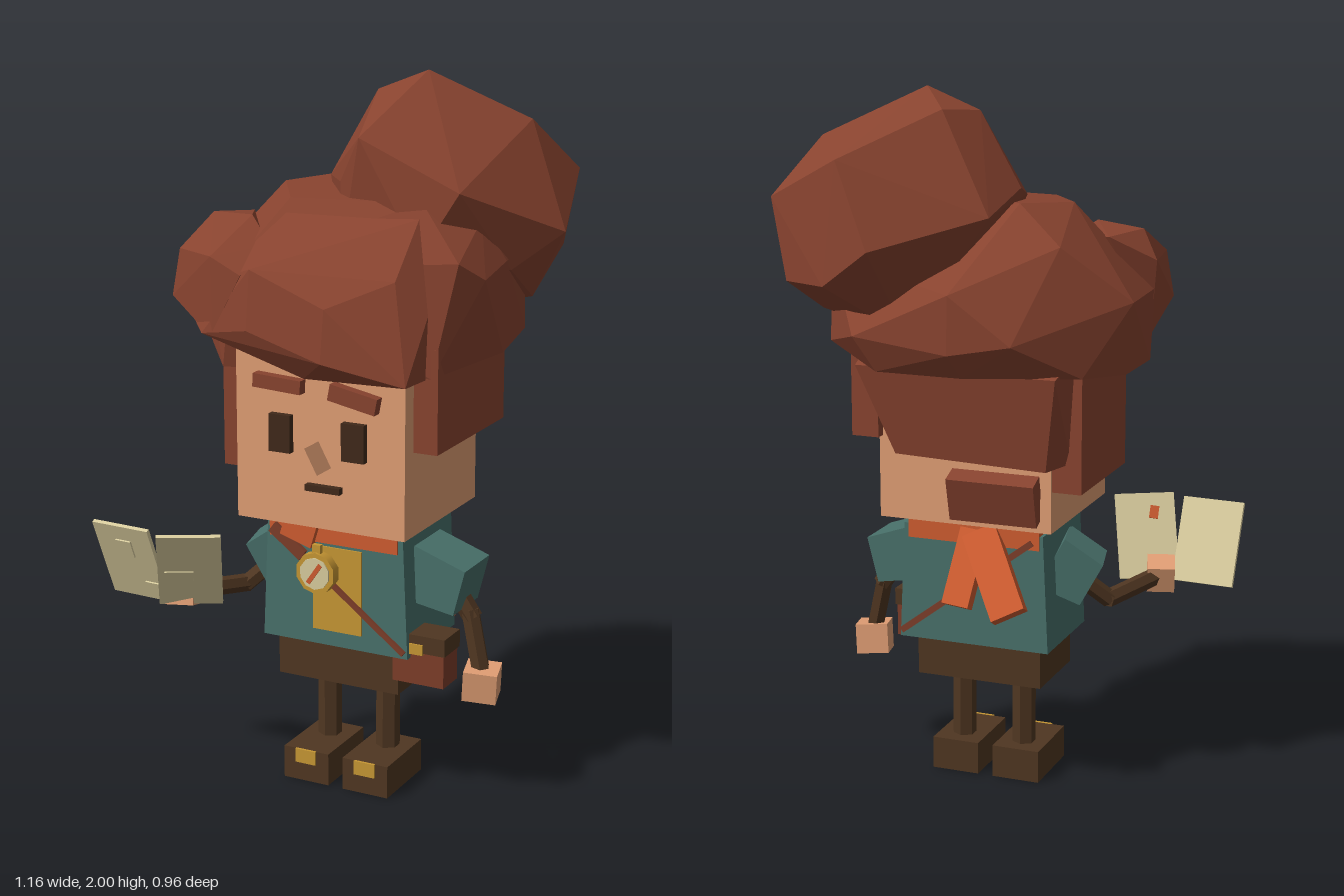
import * as THREE from 'three';
import { ConvexGeometry } from 'three/addons/geometries/ConvexGeometry.js';

const paint = (name, color) => {
  const m = new THREE.MeshStandardMaterial({ color });
  m.name = name;
  return m;
};

export function createModel() {
  const skin = paint('skin', 0xdf9d73);
  const hair = paint('auburn hair', 0x88432f);
  const teal = paint('teal cloth', 0x48706a);
  const orange = paint('orange scarf', 0xce5c30);
  const brown = paint('dark brown', 0x4f3621);
  const gold = paint('gold', 0xc69633);
  const cream = paint('paper', 0xd8cb9d);
  const leather = paint('leather', 0x7c3d29);
  const dark = paint('eye brown', 0x40291a);

  const model = new THREE.Group();
  model.name = 'explorer';
  const add = (name, geo, mat, parent = model) => {
    const mesh = new THREE.Mesh(geo, mat);
    mesh.name = name;
    parent.add(mesh);
    return mesh;
  };
  const box = (name, mat, size, pos, rot = [0, 0, 0], parent = model) => {
    const mesh = add(name, new THREE.BoxGeometry(...size), mat, parent);
    mesh.position.set(...pos);
    mesh.rotation.set(...rot);
    return mesh;
  };
  // box given by its ranges: x0, x1, y0, y1, z0, z1
  const span = (name, mat, x0, x1, y0, y1, z0, z1) =>
    box(name, mat, [x1 - x0, y1 - y0, z1 - z0], [(x0 + x1) / 2, (y0 + y1) / 2, (z0 + z1) / 2]);
  const lump = (name, mat, pts) =>
    add(name, new ConvexGeometry(pts.map((p) => new THREE.Vector3(...p))), mat);
  // straight faceted limb between two points
  const limb = (name, mat, a, b, r) => {
    const p = new THREE.Vector3(...a), q = new THREE.Vector3(...b);
    const geo = new THREE.CylinderGeometry(r, r, p.distanceTo(q), 6).toNonIndexed();
    geo.computeVertexNormals();
    const mesh = add(name, geo, mat);
    mesh.position.copy(p).add(q).multiplyScalar(0.5);
    mesh.quaternion.setFromUnitVectors(new THREE.Vector3(0, 1, 0), q.sub(p).normalize());
  };

  // legs, shoes and buckles
  for (const x of [-0.04, 0.147]) {
    span('shoe', brown, x - 0.071, x + 0.071, 0, 0.095, -0.025, 0.195);
    limb('leg', brown, [x, 0.08, 0.048], [x, 0.33, 0.048], 0.034);
    span('shoeBuckle', gold, x - 0.032, x + 0.032, 0.055, 0.096, 0.193, 0.201);
  }
  span('trousers', brown, -0.135, 0.24, 0.31, 0.44, -0.075, 0.175);

  // torso, narrowing a little towards the shoulders
  const torso = span('tunic', teal, -0.17, 0.28, 0.43, 0.77, -0.11, 0.2);
  const tp = torso.geometry.attributes.position;
  for (let i = 0; i < tp.count; i++) if (tp.getY(i) > 0) tp.setX(i, tp.getX(i) * 0.93);
  span('frontPanel', gold, -0.01, 0.14, 0.475, 0.72, 0.197, 0.205);

  // scarf with knot and two tails spreading down the back
  span('scarf', orange, -0.145, 0.25, 0.73, 0.81, -0.115, 0.207);
  box('scarfKnot', orange, [0.1, 0.07, 0.03], [-0.045, 0.763, 0.21], [0, 0, -0.3]);
  box('scarfTail', orange, [0.1, 0.265, 0.038], [-0.035, 0.67, -0.172], [0.52, 0, -0.52]);
  box('scarfTail', orange, [0.08, 0.22, 0.036], [0.055, 0.672, -0.16], [0.44, 0, 0.095]);

  // strap across the chest and back, and the bag
  box('strap', leather, [0.5, 0.014, 0.01], [0.075, 0.6, 0.212], [0, 0, -0.65]);
  box('strapTop', leather, [0.12, 0.035, 0.012], [-0.085, 0.722, 0.212], [0, 0, -0.65]);
  box('strap', leather, [0.5, 0.018, 0.01], [0.075, 0.6, -0.114], [0, 0, -0.65]);
  span('bag', leather, 0.225, 0.38, 0.355, 0.46, 0.09, 0.18);
  span('bagFlap', brown, 0.225, 0.385, 0.45, 0.5, 0.085, 0.185);
  span('bagClasp', gold, 0.28, 0.32, 0.445, 0.475, 0.182, 0.19);

  // compass
  const compass = new THREE.Group();
  compass.name = 'compass';
  compass.position.set(0.015, 0.65, 0.225);
  model.add(compass);
  add('compassCase', new THREE.CylinderGeometry(0.06, 0.06, 0.03, 10), gold, compass).rotation.x = Math.PI / 2;
  const dial = add('compassDial', new THREE.CylinderGeometry(0.046, 0.046, 0.006, 10), cream, compass);
  dial.rotation.x = Math.PI / 2;
  dial.position.z = 0.016;
  box('compassNeedle', orange, [0.013, 0.068, 0.005], [0, 0, 0.02], [0, 0, -0.6], compass);
  box('compassLoop', gold, [0.025, 0.025, 0.015], [0, 0.068, 0], [0, 0, 0], compass);

  // sleeves, flaring slightly towards the body
  const sleeve = (pos, rot, size) => {
    const mesh = box('sleeve', teal, size, pos, rot);
    const p = mesh.geometry.attributes.position;
    for (let i = 0; i < p.count; i++) if (p.getX(i) * pos[0] < 0) p.setY(i, p.getY(i) * 1.2);
  };
  sleeve([0.325, 0.64, 0.052], [0, 0, -0.25], [0.16, 0.135, 0.165]);
  sleeve([-0.185, 0.64, 0.06], [0, 0.25, 0.5], [0.13, 0.135, 0.15]);

  // arms and hands
  limb('arm', brown, [0.35, 0.61, 0.05], [0.41, 0.525, 0.052], 0.028);
  limb('arm', brown, [0.4, 0.55, 0.052], [0.445, 0.37, 0.068], 0.027);
  box('hand', skin, [0.095, 0.088, 0.09], [0.446, 0.35, 0.068], [0.1, 0.25, -0.08]);
  limb('arm', brown, [-0.19, 0.62, 0.06], [-0.275, 0.535, 0.12], 0.026);
  limb('arm', brown, [-0.27, 0.538, 0.11], [-0.355, 0.56, 0.3], 0.026);
  box('hand', skin, [0.08, 0.08, 0.08], [-0.365, 0.565, 0.318], [-0.3, 0.3, 0.1]);

  // folded map of two leaning panels
  const mapPanel = (center, u, v, w, h) => {
    const g = new THREE.Group();
    g.name = 'mapPanel';
    const U = new THREE.Vector3(...u).normalize(), N = U.clone().cross(new THREE.Vector3(...v)).normalize();
    g.quaternion.setFromRotationMatrix(new THREE.Matrix4().makeBasis(U, N.clone().cross(U), N));
    g.position.set(...center);
    model.add(g);
    box('mapSheet', cream, [w, h, 0.012], [0, 0, 0], [0, 0, 0], g);
    return g;
  };
  const left = mapPanel([-0.487, 0.655, 0.389], [0.99, 0, 0.05], [0, 0.23, 0.095], 0.185, 0.25);
  const right = mapPanel([-0.3, 0.655, 0.383], [0.155, 0, -0.085], [0.04, 0.23, 0.1], 0.177, 0.253);
  box('mapMark', cream, [0.05, 0.055, 0.006], [0, 0.05, 0.008], [0, 0, 0], left);
  box('mapMark', cream, [0.05, 0.035, 0.006], [0.06, -0.08, 0.008], [0, 0, 0], left);
  box('mapMark', cream, [0.08, 0.06, 0.006], [-0.03, -0.03, 0.008], [0, 0, 0], right);
  box('mapCross', orange, [0.026, 0.038, 0.006], [-0.025, 0.068, -0.008], [0, 0, 0.2], right);

  // head and face
  span('head', skin, -0.2, 0.31, 0.8, 1.32, -0.17, 0.285);
  span('eye', dark, -0.09, -0.025, 1.005, 1.11, 0.28, 0.305);
  span('eye', dark, 0.13, 0.198, 1.005, 1.11, 0.28, 0.305);
  span('mouth', dark, 0.02, 0.125, 0.908, 0.926, 0.28, 0.305);
  box('eyebrow', hair, [0.145, 0.038, 0.04], [-0.06, 1.197, 0.295], [0, 0, -0.05]);
  box('eyebrow', hair, [0.142, 0.046, 0.04], [0.168, 1.18, 0.295], [0, 0, -0.19]);
  const noseShape = new THREE.Shape([[0.015, 0.975], [0.09, 0.975], [0.052, 1.045]].map((p) => new THREE.Vector2(...p)));
  add('nose', new THREE.ExtrudeGeometry(noseShape, { depth: 0.085, bevelEnabled: false }), skin).position.z = 0.28;

  // hair around the sides and nape
  span('sideHair', hair, 0.3, 0.38, 1.035, 1.32, -0.2, 0.235);
  span('sideHair', hair, -0.285, -0.19, 0.918, 1.3, -0.165, 0.21);
  lump('backHair', hair, [
    [-0.27, 1.3, -0.14], [0.34, 1.3, -0.14], [-0.24, 1.25, -0.255], [0.34, 1.25, -0.26],
    [-0.25, 1.0, -0.15], [0.28, 1.03, -0.15], [-0.2, 0.985, -0.215], [0.24, 1.0, -0.22],
  ]);
  box('napeLock', hair, [0.25, 0.13, 0.06], [-0.045, 0.895, -0.2], [-0.3, 0.05, 0.03]);

  // main mass of hair
  lump('hairCap', hair, [
    [-0.39, 1.25, -0.11], [-0.39, 1.25, 0.1], [-0.28, 1.2, 0.22], [0.36, 1.24, 0.235], [0.47, 1.28, 0.02],
    [0.44, 1.3, -0.2], [0.25, 1.25, -0.32], [0, 1.25, -0.32], [-0.3, 1.25, -0.21],
    [-0.415, 1.45, -0.13], [-0.4, 1.45, 0.1], [-0.15, 1.35, -0.35], [0.02, 1.32, -0.375],
    [0.3, 1.35, -0.36], [0.48, 1.53, 0.03], [0.475, 1.5, 0.155], [0.43, 1.55, 0.225], [0.45, 1.53, -0.16],
    [0.42, 1.64, 0.06], [-0.2, 1.5, 0.3], [-0.2, 1.69, 0], [-0.1, 1.7, -0.15], [0.02, 1.48, -0.37],
    [-0.24, 1.6, -0.22], [0.3, 1.69, 0.17], [-0.08, 1.68, 0.19],
  ]);
  // swept fringe, running up into the cap
  lump('fringe', hair, [
    [-0.4, 1.41, 0.24], [-0.25, 1.33, 0.38], [-0.09, 1.36, 0.42], [0.14, 1.3, 0.44], [0.36, 1.25, 0.39],
    [0.375, 1.42, 0.29], [0.35, 1.24, 0.25], [-0.09, 1.52, 0.4], [0.3, 1.51, 0.33], [0.14, 1.44, 0.42],
    [0.06, 1.24, 0.38], [-0.3, 1.5, 0.2], [0.3, 1.65, 0.19], [-0.08, 1.65, 0.2], [-0.12, 1.26, 0.28],
  ]);
  lump('frontCurl', hair, [
    [-0.41, 1.53, 0.085], [-0.4, 1.4, 0.28], [-0.36, 1.61, 0.12], [-0.21, 1.62, 0.17], [-0.11, 1.56, 0.25],
    [-0.12, 1.5, 0.395], [-0.21, 1.34, 0.39], [-0.38, 1.53, 0.27], [-0.39, 1.32, 0.1], [-0.28, 1.35, 0.35],
    [-0.22, 1.54, 0.38], [-0.3, 1.6, 0],
  ]);
  // tall leaning bun
  lump('bun', hair, [
    [0.175, 2, -0.125], [0.02, 1.94, -0.13], [0.08, 1.95, -0.25], [0.435, 1.87, -0.235], [0.3, 1.83, -0.445],
    [0.51, 1.72, -0.4], [0.58, 1.59, -0.13], [0.195, 1.6, -0.487], [0.12, 1.85, 0.185], [0.4, 1.72, 0.16],
    [0.48, 1.5, 0], [0.46, 1.39, -0.2], [0.03, 1.72, 0.115], [-0.08, 1.71, -0.04], [-0.1, 1.74, -0.14],
    [-0.075, 1.68, -0.31], [0.33, 1.5, -0.47], [0.46, 1.5, -0.42], [0.2, 1.33, -0.22], [0.3, 1.55, 0.19],
    [0.05, 1.55, 0.14],
  ]);

  return model;
}
